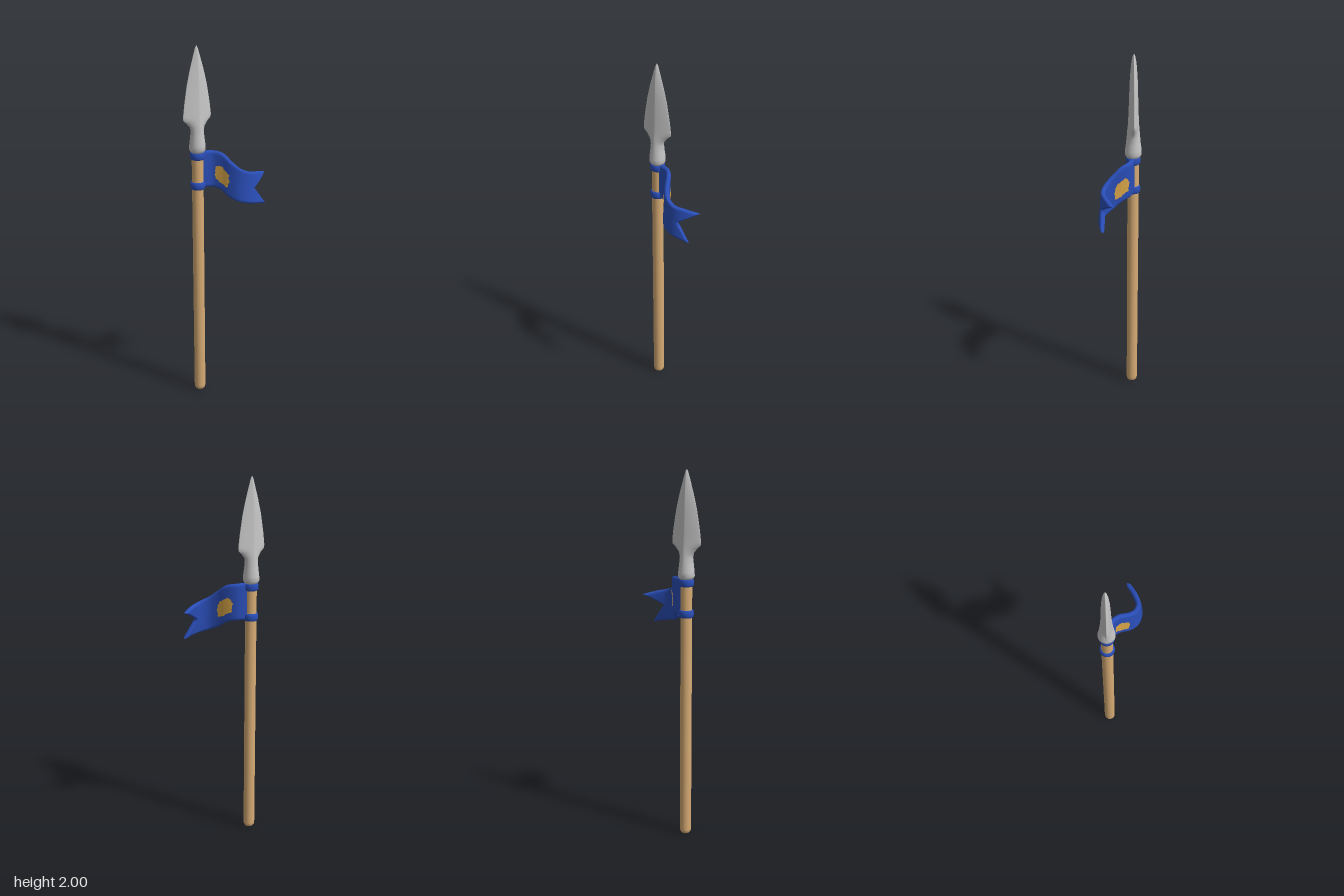
import * as THREE from 'three';
import { mergeVertices } from 'three/addons/utils/BufferGeometryUtils.js';

const AXIS_X = -0.143, AXIS_Z = -0.056;
const V = (x, y, z) => new THREE.Vector3(x, y, z);

const material = (name, color, side = THREE.FrontSide) => {
  const m = new THREE.MeshStandardMaterial({ color, side });
  m.name = name;
  return m;
};

const geometryFrom = (positions, index) => {
  let g = new THREE.BufferGeometry();
  g.setAttribute('position', new THREE.Float32BufferAttribute(positions, 3));
  g.setIndex(index);
  g = mergeVertices(g, 1e-5);
  g.computeVertexNormals();
  return g;
};

// Spearhead: [height, half width, half thickness, blade-ness] loops, round socket to lens blade
function spearheadGeometry() {
  const rows = [
    [1.435, 0.001, 0.001, 0], [1.437, 0.036, 0.036, 0], [1.452, 0.043, 0.045, 0], [1.475, 0.042, 0.045, 0],
    [1.51, 0.038, 0.040, 0], [1.55, 0.036, 0.036, 0.2], [1.575, 0.044, 0.034, 0.5], [1.60, 0.066, 0.032, 0.8],
    [1.617, 0.085, 0.030, 1], [1.635, 0.086, 0.029, 1], [1.70, 0.078, 0.026, 1], [1.80, 0.061, 0.023, 1],
    [1.88, 0.041, 0.020, 1], [1.95, 0.020, 0.014, 1], [1.985, 0.009, 0.008, 0.6], [2.0, 0.001, 0.001, 0],
  ];
  const n = 32, pos = [], idx = [];
  rows.forEach(([y, a, b, blade], r) => {
    for (let k = 0; k < n; k++) {
      const t = (k / n) * Math.PI * 2, c = Math.cos(t), s = Math.sin(t);
      const p = 1 + 0.7 * blade; // exponent pulls the ellipse towards a diamond
      pos.push(a * Math.sign(c) * Math.abs(c) ** p, y, b * Math.sign(s) * Math.abs(s) ** p);
      if (r < rows.length - 1) {
        const i = r * n + k, j = r * n + (k + 1) % n;
        idx.push(i, i + n, j, j, i + n, j + n);
      }
    }
  });
  return geometryFrom(pos, idx);
}

// Pennant surface, ruled between a top and a bottom edge curve
const topEdge = new THREE.CatmullRomCurve3([
  V(-0.118, 1.44, -0.053), V(-0.06, 1.438, -0.043), V(-0.02, 1.428, -0.008), V(0.01, 1.39, 0.036),
  V(0.05, 1.353, 0.07), V(0.10, 1.332, 0.078), V(0.15, 1.32, 0.056), V(0.217, 1.298, 0.008),
]);
const bottomEdge = new THREE.CatmullRomCurve3([
  V(-0.118, 1.236, -0.053), V(-0.06, 1.236, -0.04), V(-0.025, 1.222, -0.002), V(0.002, 1.19, 0.04),
  V(0.04, 1.17, 0.076), V(0.10, 1.157, 0.091), V(0.15, 1.148, 0.084), V(0.195, 1.138, 0.07),
]);
const cloth = (s, v) => topEdge.getPointAt(s).lerp(bottomEdge.getPointAt(s), v);
function clothOffset(s, v, d) {
  const e = 0.01, s0 = Math.max(s - e, 0), s1 = Math.min(s + e, 1);
  const du = cloth(s1, v).sub(cloth(s0, v));
  const dv = cloth(s, 1).sub(cloth(s, 0));
  return cloth(s, v).addScaledVector(dv.cross(du).normalize(), d);
}

const HALF = 0.013; // half thickness of the cloth
function pennantGeometry() {
  const nu = 40, nv = 20, pos = [], idx = [];
  for (const side of [1, -1]) {
    const base = pos.length / 3;
    for (let i = 0; i <= nu; i++) for (let j = 0; j <= nv; j++) {
      const u = Math.sin((i / nu) * Math.PI / 2);
      const v = (1 - Math.cos((j / nv) * Math.PI)) / 2;
      const notch = 1 - 0.23 * (1 - Math.abs(2 * v - 1)); // swallowtail
      const edge = Math.min(Math.min(v, 1 - v) * 0.2, (1 - u) * 0.4) / HALF;
      const round = Math.sqrt(Math.max(0, 1 - (1 - Math.min(edge, 1)) ** 2));
      pos.push(...clothOffset(u * notch, v, side * HALF * round));
      if (i < nu && j < nv) {
        const a = base + i * (nv + 1) + j, b = a + nv + 1;
        if (side > 0) idx.push(a, a + 1, b, b, a + 1, b + 1);
        else idx.push(a, b, a + 1, b, b + 1, a + 1);
      }
    }
  }
  return geometryFrom(pos, idx);
}

// Worn gold patch that follows the cloth, with a ragged rim
function emblemGeometry(side) {
  const n = 36, rings = 5, pos = [], idx = [];
  for (let r = 0; r <= rings; r++) for (let k = 0; k < n; k++) {
    const t = (k / n) * Math.PI * 2;
    const ragged = 0.96 + 0.06 * Math.sin(k * 2.4) + 0.05 * Math.sin(k * 5.1 + side);
    const f = (r / rings) * (r === rings ? ragged : 0.95);
    const c = Math.cos(t), s = Math.sin(t);
    const box = 1 / Math.max(Math.abs(c), Math.abs(s)) ** 0.5; // squarish outline
    pos.push(...clothOffset(0.30 + 0.125 * f * box * c, 0.56 + 0.23 * f * box * s, side * (HALF + 0.003)));
    if (r < rings) {
      const a = r * n + k, b = r * n + (k + 1) % n;
      if (side > 0) idx.push(a, b, a + n, b, b + n, a + n);
      else idx.push(a, a + n, b, b, a + n, b + n);
    }
  }
  return geometryFrom(pos, idx);
}

export function createModel() {
  const group = new THREE.Group();
  group.name = 'pennantSpear';
  const wood = material('wood', 0xd6ab74);
  const steel = material('steel', 0xc6c6c6);
  const blue = material('blueCloth', 0x2a4eb8);
  const gold = material('gold', 0xd8a548, THREE.DoubleSide);

  const add = (name, geometry, mat, onAxis) => {
    const mesh = new THREE.Mesh(geometry, mat);
    mesh.name = name;
    if (onAxis) mesh.position.set(AXIS_X, 0, AXIS_Z);
    group.add(mesh);
    return mesh;
  };
  const lathe = (points) => new THREE.LatheGeometry(points.map(([r, y]) => new THREE.Vector2(r, y)), 32);

  // Shaft with a rounded butt
  add('shaft', lathe([
    [0, 0], [0.012, 0.001], [0.022, 0.006], [0.029, 0.016], [0.031, 0.03], [0.031, 0.5], [0.031, 1.0], [0.031, 1.45],
  ]), wood, true);

  // Spearhead, turned slightly about the shaft
  add('spearhead', spearheadGeometry(), steel, true).rotation.y = 0.15;

  // Cloth ties holding the pennant
  for (const [name, y] of [['upperTie', 1.418], ['lowerTie', 1.252]]) {
    add(name, lathe([
      [0.029, y - 0.021], [0.035, y - 0.02], [0.039, y - 0.013], [0.04, y],
      [0.039, y + 0.013], [0.035, y + 0.02], [0.029, y + 0.021],
    ]), blue, true);
  }

  add('pennant', pennantGeometry(), blue);
  add('frontEmblem', emblemGeometry(1), gold);
  add('backEmblem', emblemGeometry(-1), gold);
  return group;
}
